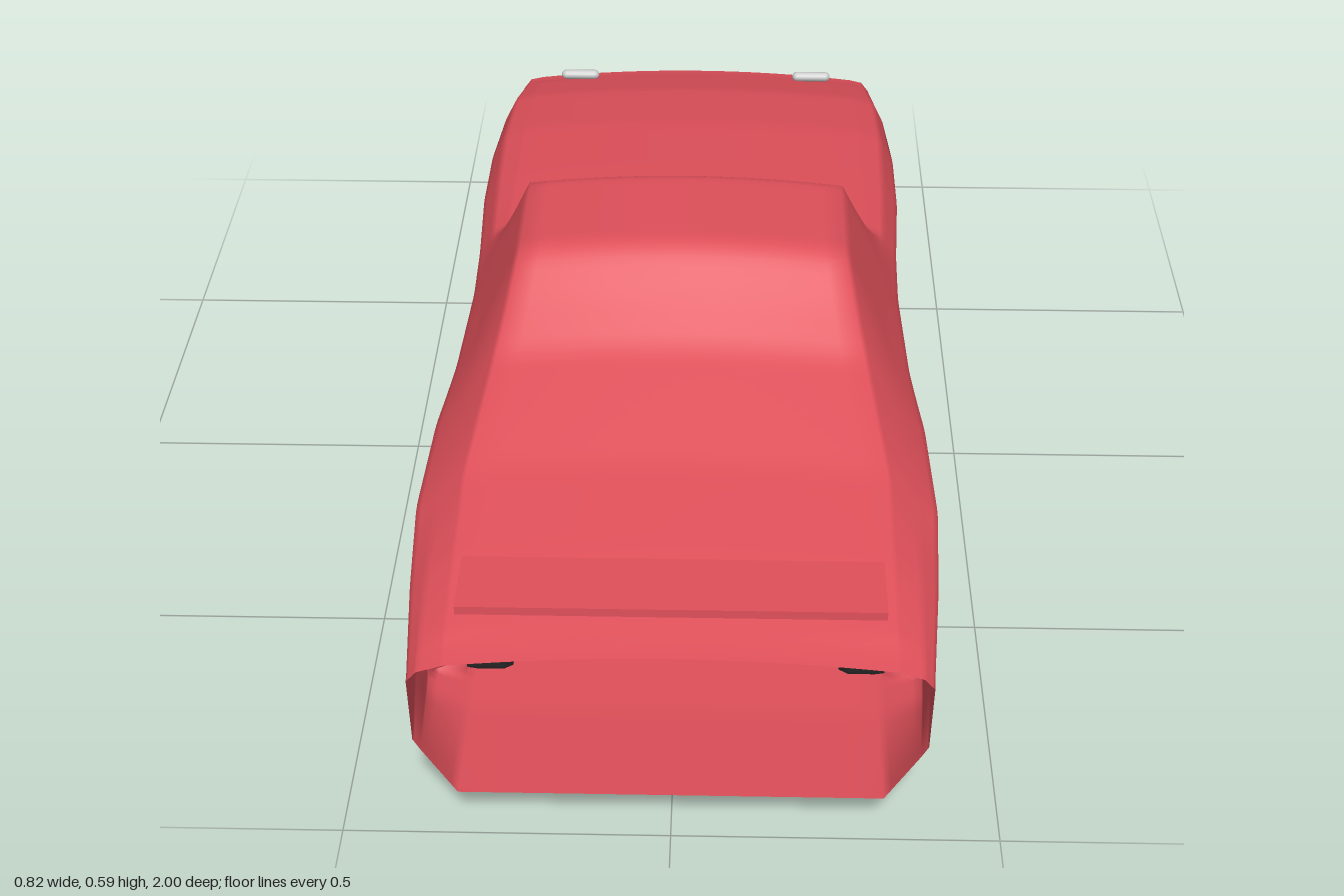
import * as THREE from 'three';

const paint = new THREE.MeshStandardMaterial({ color: 0xe0505a, side: THREE.DoubleSide });
const rubber = new THREE.MeshStandardMaterial({ color: 0x333333, side: THREE.DoubleSide });
const grey = new THREE.MeshStandardMaterial({ color: 0xcccccc });

const WHEEL_Z = [0.58, -0.56], WHEEL_R = 0.145;

// Body stations: z, crown y, roof edge x, belt x,y, widest x, its y, sill y
const STATIONS = [
  [-1.00, 0.280, 0.33, 0.355, 0.255, 0.370, 0.235, 0.14],
  [-0.80, 0.340, 0.33, 0.370, 0.312, 0.391, 0.270, 0.11],
  [-0.60, 0.369, 0.33, 0.375, 0.338, 0.402, 0.285, 0.10],
  [-0.40, 0.382, 0.33, 0.370, 0.350, 0.400, 0.300, 0.10],
  [-0.17, 0.392, 0.33, 0.360, 0.362, 0.386, 0.320, 0.13],
  [-0.01, 0.588, 0.27, 0.350, 0.400, 0.381, 0.330, 0.13],
  [0.23, 0.593, 0.27, 0.352, 0.400, 0.388, 0.335, 0.13],
  [0.32, 0.535, 0.285, 0.358, 0.395, 0.396, 0.335, 0.12],
  [0.40, 0.487, 0.30, 0.362, 0.390, 0.404, 0.335, 0.10],
  [0.62, 0.418, 0.33, 0.377, 0.360, 0.412, 0.330, 0.10],
  [0.80, 0.390, 0.33, 0.375, 0.345, 0.402, 0.315, 0.10],
  [1.00, 0.350, 0.33, 0.370, 0.318, 0.385, 0.300, 0.17],
];

function stationAt(z) {
  z = THREE.MathUtils.clamp(z, -1, 1);
  let k = 0;
  while (k < STATIONS.length - 2 && z > STATIONS[k + 1][0]) k++;
  const a = STATIONS[k], b = STATIONS[k + 1];
  const t = (z - a[0]) / (b[0] - a[0]);
  return a.map((v, i) => v + (b[i] - v) * t);
}

// Half cross-section from the crown down to the middle of the floor
function halfSection(z) {
  const near = [-0.015, 0, 0.015].map((d) => stationAt(z + d));
  const [, crown, ex, bx, by, w, wy, sillY] = near[0].map((v, i) => (v + near[1][i] + near[2][i]) / 3);
  const drop = Math.abs(z) > 0.95 ? 0.019 : 0.017; // crown camber across the width
  const ey = crown - drop;
  const floorY = 0.07 + 0.014 * Math.max(0, (z - 0.8) / 0.2);
  const my = Math.max(wy - 0.12, sillY + 0.02);
  const pts = [];
  for (let i = 0; i < 8; i++) pts.push([ex * i / 8, crown - drop * (i / 8) ** 2]);
  const line = (x0, y0, x1, y1, n) => {
    for (let i = 0; i < n; i++) pts.push([x0 + (x1 - x0) * i / n, y0 + (y1 - y0) * i / n]);
  };
  line(ex, ey, bx, by, 6);
  line(bx, by, w, wy, 4);
  line(w, wy, w - 0.003, my, 10);
  line(w - 0.003, my, w - 0.014, sillY, 8);
  line(w - 0.014, sillY, 0.32, floorY, 5);
  line(0.32, floorY, 0, floorY, 6);
  pts.push([0, floorY]);
  return pts.map(([x, y]) => [shapeSide(x, y, z), y]);
}

// Wheel cut-outs and the folded hollow in each wing beyond the wheel
function shapeSide(x, y, z) {
  WHEEL_Z.forEach((wz, i) => {
    if (y < 0.205 && Math.hypot(z - wz, y - WHEEL_R) < 0.155) x = Math.min(x, 0.335);
    const out = Math.abs((z - wz) * Math.sign(wz) - (i ? 0.13 : 0.09)) / 0.075;
    const up = Math.abs(y - (i ? 0.232 : 0.268)) / 0.04;
    if (out < 1 && up < 1 && x > 0.3) x -= 0.04 * Math.sqrt((1 - out) * (1 - up));
  });
  return x;
}

// Shell lofted along z, open at both ends
function bodyGeometry() {
  const rows = 134, pos = [], index = [];
  let n = 0;
  for (let r = 0; r <= rows; r++) {
    const z = -1 + 2 * r / rows;
    const half = halfSection(z);
    const ring = half.concat(half.slice(1, -1).reverse().map(([x, y]) => [-x, y]));
    n = ring.length;
    ring.forEach(([x, y]) => pos.push(x, y, z));
  }
  for (let r = 0; r < rows; r++) {
    for (let j = 0; j < n; j++) {
      const a = r * n + j, b = r * n + (j + 1) % n;
      index.push(a, a + n, b, b, a + n, b + n);
    }
  }
  const g = new THREE.BufferGeometry();
  g.setAttribute('position', new THREE.Float32BufferAttribute(pos, 3));
  g.setIndex(index);
  g.computeVertexNormals();
  return g;
}

function addMesh(parent, name, geometry, material, x = 0, y = 0, z = 0) {
  const m = new THREE.Mesh(geometry, material);
  m.name = name;
  m.position.set(x, y, z);
  parent.add(m);
  return m;
}

// Wheel built around the y axis, outer face towards +y
function makeWheel(name) {
  const wheel = new THREE.Group();
  wheel.name = name;
  const profile = [[0.104, -0.055], [0.108, -0.063], [0.136, -0.063], [0.145, -0.048],
    [0.145, 0.048], [0.136, 0.063], [0.108, 0.063], [0.104, 0.055], [0.104, -0.055]];
  const tyre = new THREE.LatheGeometry(profile.map((p) => new THREE.Vector2(...p)), 40);
  addMesh(wheel, 'tyre', tyre, rubber);
  const rim = new THREE.TorusGeometry(0.102, 0.005, 8, 40).rotateX(Math.PI / 2);
  addMesh(wheel, 'rim', rim, grey, 0, 0.052, 0);
  addMesh(wheel, 'hub', new THREE.CylinderGeometry(0.016, 0.018, 0.02, 16), grey, 0, 0.045, 0);
  const spokes = 12;
  for (let i = 0; i < spokes; i++) {
    const spoke = new THREE.BoxGeometry(0.09, 0.008, 0.007).translate(0.056, 0, 0);
    addMesh(wheel, 'spoke', spoke, grey, 0, 0.048, 0).rotation.y = i * 2 * Math.PI / spokes;
  }
  return wheel;
}

export function createModel() {
  const car = new THREE.Group();
  car.name = 'car';
  addMesh(car, 'bodyShell', bodyGeometry(), paint);

  // Tail wing
  addMesh(car, 'spoiler', new THREE.BoxGeometry(0.63, 0.014, 0.118), paint, 0, 0.395, 0.892);

  for (const s of [1, -1]) {
    // Headlights on the nose
    const lamp = new THREE.CapsuleGeometry(0.01, 0.06, 4, 12).rotateZ(Math.PI / 2);
    addMesh(car, 'headlight', lamp, grey, s * 0.245, 0.298, -0.945);

    // Wheels
    WHEEL_Z.forEach((z, i) => {
      const wheel = makeWheel(i ? 'frontWheel' : 'rearWheel');
      wheel.position.set(s * 0.325, WHEEL_R, z);
      wheel.rotation.z = -s * Math.PI / 2;
      car.add(wheel);
    });
  }
  return car;
}
